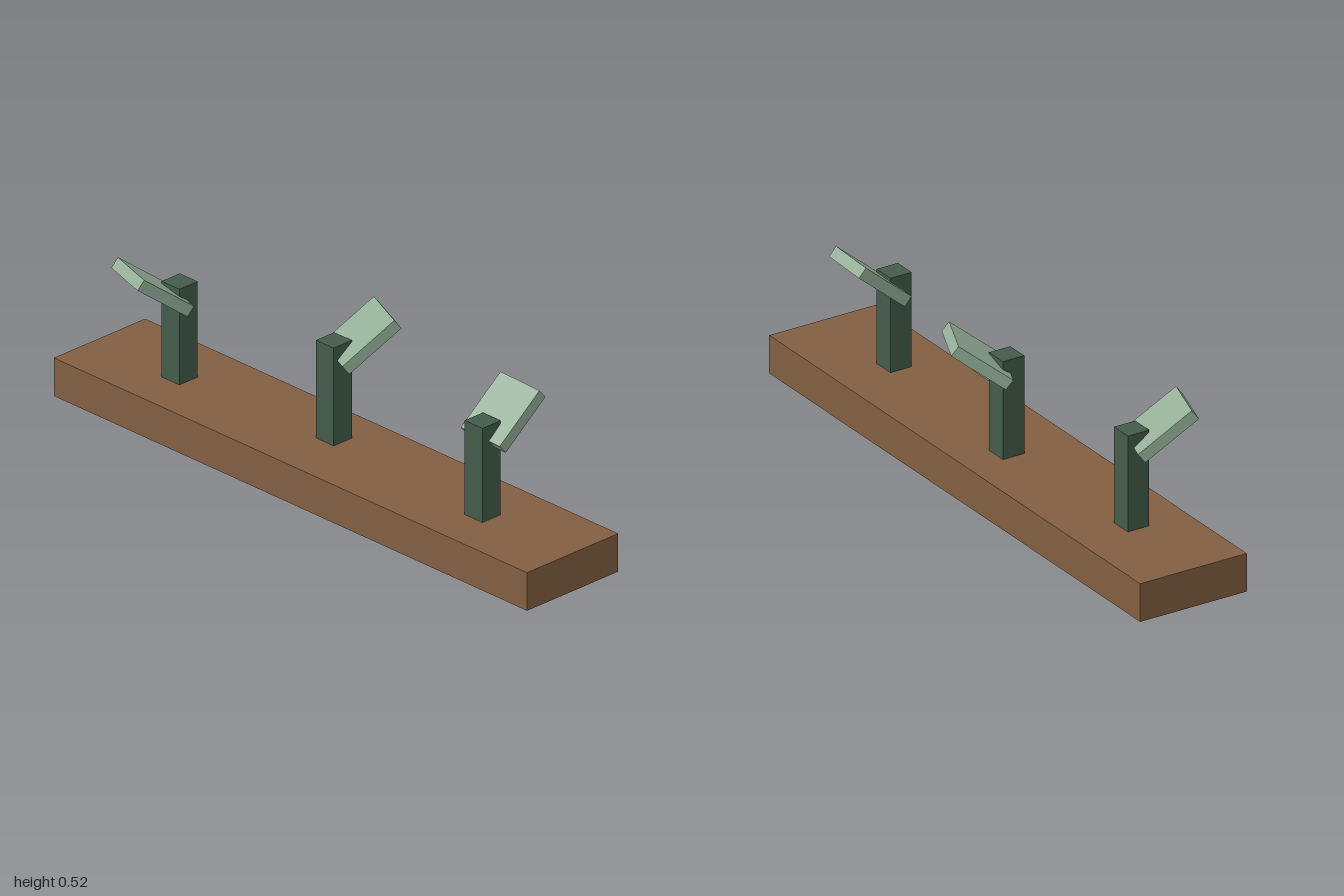
import * as THREE from 'three';

const rad = THREE.MathUtils.degToRad;

export function createModel() {
  const model = new THREE.Group();
  model.name = 'tiltedPanelRow';

  const brown = new THREE.MeshStandardMaterial({ color: 0x825f42, side: THREE.DoubleSide });
  brown.name = 'brown wood';
  const darkGreen = new THREE.MeshStandardMaterial({ color: 0x445c4a });
  darkGreen.name = 'dark green';
  const paleGreen = new THREE.MeshStandardMaterial({ color: 0x93ae97 });
  paleGreen.name = 'pale green';

  // Hollow base: a box without its bottom face
  const baseGeometry = new THREE.BoxGeometry(2, 0.125, 0.375);
  const faces = Array.from(baseGeometry.index.array);
  faces.splice(18, 6);
  baseGeometry.setIndex(faces);
  baseGeometry.clearGroups();
  const base = new THREE.Mesh(baseGeometry, brown);
  base.name = 'base';
  base.position.set(0, 0.0625, 0.0125);
  model.add(base);

  // Each post carries a square panel, turned by yaw and raised by slope
  const stands = [
    { x: -0.65, z: 0.023, top: 0.439, yaw: 162.6, slope: 36.5, reach: 0.089 },
    { x: -0.041, z: -0.019, top: 0.446, yaw: -23.7, slope: 37, reach: 0.087 },
    { x: 0.631, z: 0.0235, top: 0.434, yaw: -2.4, slope: 40, reach: 0.081 },
  ];
  for (const { x, z, top, yaw, slope, reach } of stands) {
    const stand = new THREE.Group();
    stand.name = 'stand';
    stand.position.set(x, 0, z);

    const height = top - 0.125;
    const post = new THREE.Mesh(new THREE.BoxGeometry(0.075, height, 0.075), darkGreen);
    post.name = 'post';
    post.position.y = 0.125 + height / 2;

    const panel = new THREE.Mesh(new THREE.BoxGeometry(0.172, 0.205, 0.037), paleGreen);
    panel.name = 'panel';
    panel.rotation.set(rad(slope - 90), rad(yaw), 0, 'YXZ');
    panel.position.set(-Math.sin(rad(yaw)) * reach, top + 0.001, -Math.cos(rad(yaw)) * reach);

    stand.add(post, panel);
    model.add(stand);
  }
  return model;
}
